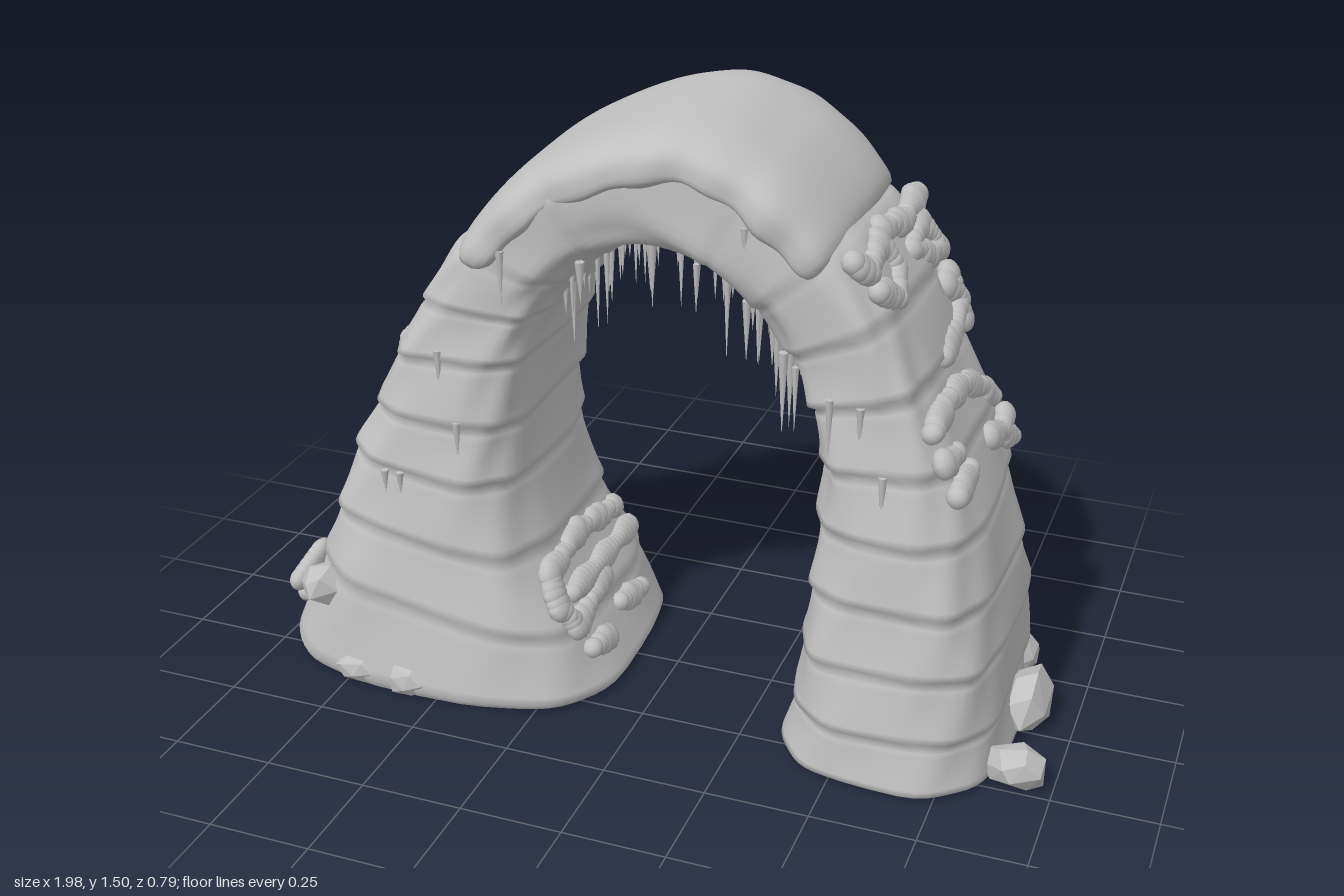
import * as THREE from 'three';
import { mergeGeometries } from 'three/addons/utils/BufferGeometryUtils.js';
import { ConvexGeometry } from 'three/addons/geometries/ConvexGeometry.js';

// Arch stations along the span: outer x, outer y, inner x, inner y, half depth
const STATIONS = [
  [-0.995, 0, -0.11, 0, 0.38], [-0.89, 0.28, -0.18, 0.16, 0.357], [-0.83, 0.44, -0.285, 0.36, 0.33],
  [-0.77, 0.59, -0.335, 0.55, 0.308], [-0.71, 0.72, -0.335, 0.7, 0.29], [-0.65, 0.86, -0.31, 0.87, 0.275],
  [-0.57, 1, -0.265, 0.99, 0.267], [-0.48, 1.15, -0.2, 1.08, 0.268], [-0.28, 1.36, -0.11, 1.16, 0.275],
  [0.04, 1.49, 0, 1.2, 0.28], [0.28, 1.43, 0.14, 1.16, 0.28], [0.46, 1.27, 0.25, 1.08, 0.275],
  [0.57, 1.1, 0.33, 0.99, 0.27], [0.64, 0.94, 0.385, 0.88, 0.272], [0.72, 0.76, 0.41, 0.75, 0.285],
  [0.775, 0.6, 0.41, 0.6, 0.303], [0.815, 0.44, 0.4, 0.44, 0.322], [0.84, 0.29, 0.38, 0.28, 0.34],
  [0.85, 0.13, 0.365, 0.13, 0.355], [0.86, 0, 0.345, 0, 0.365],
];
const LAST = STATIONS.length - 1, CROWN = 9, Z_SHIFT = -0.008;
const curveOf = (f) => new THREE.CatmullRomCurve3(STATIONS.map(f), false, 'catmullrom', 0.5);
const outer = curveOf((s) => new THREE.Vector3(s[0], s[1], s[4])); // z holds the half depth
const inner = curveOf((s) => new THREE.Vector3(s[2], s[3], s[4]));

let seed = 7;
const rand = (a = 0, b = 1) => {
  seed = (seed * 16807) % 2147483647;
  return a + (b - a) * (seed / 2147483647);
};
const spow = (v, p) => Math.sign(v) * Math.pow(Math.abs(v), p);

// Skins closed rings of points and closes both ends
function loft(rings) {
  const n = rings[0].length, pos = [], idx = [];
  rings.forEach((r) => r.forEach((p) => pos.push(p.x, p.y, p.z)));
  for (let i = 0; i < rings.length - 1; i++)
    for (let j = 0; j < n; j++) {
      const a = i * n + j, b = i * n + ((j + 1) % n);
      idx.push(a, b, a + n, b, b + n, a + n);
    }
  [rings[0], rings[rings.length - 1]].forEach((r, end) => {
    const base = pos.length / 3, c = new THREE.Vector3();
    r.forEach((p) => { pos.push(p.x, p.y, p.z); c.addScaledVector(p, 1 / n); });
    pos.push(c.x, c.y, c.z);
    for (let j = 0; j < n; j++) {
      const k = base + j, m = base + ((j + 1) % n);
      end ? idx.push(base + n, k, m) : idx.push(base + n, m, k);
    }
  });
  const g = new THREE.BufferGeometry();
  g.setAttribute('position', new THREE.Float32BufferAttribute(pos, 3));
  g.setIndex(idx);
  g.computeVertexNormals();
  return g;
}

// Stacked strata: each layer flares to a lip at its lower edge, fading at the crown
function archGeometry() {
  const SUB = 10, N = 56, rings = [];
  for (let i = 0; i <= LAST * SUB; i++) {
    const t = i / SUB, o = outer.getPoint(t / LAST), q = inner.getPoint(t / LAST);
    const frac = (i % SUB) / SUB, rise = Math.min(1, Math.abs(t - CROWN) / 4);
    const f = t < CROWN ? frac : (1 - frac) % 1;
    const lip = (f < 0.05 ? -0.005 : 0.014 * (1 - f) ** 1.5) * rise;
    const power = 0.62 - 0.12 * Math.min(1, o.y / 0.9); // feet are rounder in plan
    const dir = new THREE.Vector3(o.x - q.x, o.y - q.y, 0);
    const half = dir.length() / 2;
    dir.normalize();
    const ring = [];
    for (let j = 0; j < N; j++) {
      const a = (j / N) * Math.PI * 2;
      const rough = 0.004 * Math.sin(a * 5 + t * 1.7) + 0.003 * Math.sin(a * 9 - t * 2.9);
      const e = lip + rough;
      let u = spow(Math.cos(a), power) * (half + e);
      if (t > 7 && t < 11 && u > 0) u -= 0.02;
      const z = spow(Math.sin(a), power) * (o.z + e) + Z_SHIFT;
      ring.push(new THREE.Vector3((o.x + q.x) / 2, (o.y + q.y) / 2, z).addScaledVector(dir, u));
    }
    rings.push(ring);
  }
  return loft(rings);
}

// Thick cap draped over the crown with a scalloped edge
function capGeometry() {
  const rings = [], t0 = 6.95, t1 = 11.05, M = 60, N = 48;
  for (let i = 0; i <= M; i++) {
    const k = i / M, t = t0 + (t1 - t0) * k;
    const o = outer.getPoint(t / LAST), q = inner.getPoint(t / LAST);
    const dir = new THREE.Vector3(o.x - q.x, o.y - q.y, 0).normalize();
    const end = Math.pow(Math.max(0, 1 - Math.abs(2 * k - 1) ** 16), 0.5);
    const ring = [];
    for (let j = 0; j < N; j++) {
      const a = (j / N) * Math.PI * 2, c = Math.cos(a), s = Math.sin(a);
      const w = s > 0 ? 0 : 2.1;
      const wave = 0.009 * Math.sin(k * 17 + w) + 0.007 * Math.sin(k * 41 + w * 2);
      const u = -0.08 + spow(c, 0.68) * (c > 0 ? 0.088 : 0.045 + wave) * (0.3 + 0.7 * end);
      const z = spow(s, 0.6) * (o.z + 0.015 + wave * 0.7) * (0.93 + 0.07 * end) + Z_SHIFT;
      ring.push(new THREE.Vector3(o.x, o.y - 0.04 * z, z).addScaledVector(dir, u));
    }
    rings.push(ring);
  }
  return loft(rings);
}

// Finds the point and tilt on a face of one leg at a given height
function faceAt(curve, y, tA, tB) {
  let best = null, miss = 9;
  for (let i = 0; i <= 300; i++) {
    const t = (tA + ((tB - tA) * i) / 300) / LAST, p = curve.getPoint(t), d = Math.abs(p.y - y);
    if (d < miss) { miss = d; best = { p, tan: curve.getTangent(t).setZ(0).normalize() }; }
  }
  return best;
}

// Flat, closely overlapping crust following paths of [z, y] points on a face
function crustGeometry(curve, tA, tB, paths) {
  const parts = [];
  paths.forEach((path, k) => {
    for (let s = 0; s < path.length - 1; s++) {
      const [z0, y0] = path[s], [z1, y1] = path[s + 1];
      const n = Math.max(2, Math.ceil(Math.hypot(z1 - z0, y1 - y0) / 0.018));
      for (let i = 0; i <= n; i++) {
        const z = z0 + ((z1 - z0) * i) / n, y = y0 + ((y1 - y0) * i) / n;
        const { p, tan } = faceAt(curve, y, tA, tB);
        const r = 0.031 + 0.006 * Math.sin(z * 45 + y * 60 + k);
        parts.push(new THREE.SphereGeometry(1, 10, 8).scale(r, 0.026, r * 1.1)
          .rotateZ(Math.atan2(tan.y, tan.x)).translate(p.x, p.y, z));
      }
    }
  });
  return mergeGeometries(parts);
}

// Hanging spike with its root at the given point
const icicle = (x, y, z, len, r) =>
  new THREE.ConeGeometry(r, len, 6).rotateX(Math.PI).translate(x, y - len / 2, z);

function icicleGeometry() {
  const parts = [];
  for (let i = 0; i < 120; i++) {
    const t = rand(6.3, 12.8), p = inner.getPoint(t / LAST);
    const len = rand(0.09, 0.22) * (i % 3 ? 0.8 : 1);
    parts.push(icicle(p.x, p.y + 0.025, rand(-0.24, 0.24), len, rand(0.007, 0.012)));
  }
  // Spikes below the lips on the front and back faces
  [[-0.33, 1.17, 0.13], [-0.5, 0.9, 0.11], [-0.45, 0.73, 0.1], [-0.64, 0.58, 0.06], [-0.6, 0.58, 0.06],
    [0.25, 1.3, 0.08], [0.45, 0.93, 0.15], [0.52, 0.92, 0.1], [0.58, 0.77, 0.15]].forEach(([x, y, len]) => {
    const d = 0.277 + Math.max(0, 0.9 - y) * 0.11;
    [d, -d].forEach((z) => parts.push(icicle(x, y, z + Z_SHIFT, len, 0.01)));
  });
  return mergeGeometries(parts);
}

// Blocky boulder: hull of points scattered over an ellipsoid, flattened at the ground
function rockGeometry([x, y, z, sx, sy, sz]) {
  const points = [], N = 18;
  for (let i = 0; i < N; i++) {
    const h = 1 - (2 * i + 1) / N, a = i * 2.4 + rand(0, 0.5), w = Math.sqrt(1 - h * h);
    const k = rand(0.98, 1.14);
    points.push(new THREE.Vector3(x + w * Math.cos(a) * sx * k,
      Math.max(0, y + h * sy * k), z + w * Math.sin(a) * sz * k));
  }
  return new ConvexGeometry(points);
}

export function createModel() {
  const group = new THREE.Group();
  const stone = new THREE.MeshStandardMaterial({ color: 0xc0c0c0 });
  stone.name = 'pale grey stone';
  const add = (name, geometry) => {
    const mesh = new THREE.Mesh(geometry, stone);
    mesh.name = name;
    group.add(mesh);
  };

  add('archBody', archGeometry());
  add('crownCap', capGeometry());
  add('icicles', icicleGeometry());

  add('rightLegCrust', crustGeometry(outer, CROWN, LAST, [
    [[0.24, 1.24], [0.2, 1.21], [0.07, 1.23], [0.06, 1.17], [0.13, 1.13], [0.2, 1.17]],
    [[0.02, 1.24], [-0.1, 1.22], [-0.27, 1.23]], [[-0.07, 1.17], [-0.15, 1.13], [-0.23, 1.12], [-0.2, 1.19], [-0.1, 1.18]],
    [[0, 0.95], [-0.12, 0.97], [-0.23, 1], [-0.18, 1.05]], [[-0.21, 0.96], [-0.22, 1.06]],
    [[0.23, 0.87], [0.1, 0.88], [-0.05, 0.87], [-0.15, 0.82], [-0.2, 0.78]],
    [[0.23, 0.8], [0.15, 0.79]], [[0.22, 0.72], [0.1, 0.73]],
    [[-0.1, 0.72], [-0.18, 0.7], [-0.25, 0.66]], [[-0.18, 0.7], [-0.25, 0.71]],
  ]));
  add('leftLegCrust', crustGeometry(outer, 0, CROWN, [
    [[-0.26, 0.25], [-0.16, 0.2]], [[-0.08, 0.22], [0.03, 0.2]], [[0.08, 0.13], [0.2, 0.12]],
    [[0.2, 0.25], [0.28, 0.21]], [[-0.14, 0.58], [0.04, 0.6]], [[-0.1, 0.68], [0.08, 0.67]],
    [[-0.25, 0.8], [-0.1, 0.78]], [[0, 0.86], [0.1, 0.84]], [[-0.2, 0.93], [-0.04, 0.95]],
    [[-0.15, 1.04], [0.04, 1.06]], [[-0.24, 1.12], [-0.1, 1.13]],
  ]));
  add('innerFootCrust', crustGeometry(inner, 0, CROWN, [
    [[-0.2, 0.3], [0, 0.33], [0.2, 0.31]], [[0.2, 0.31], [0.23, 0.24], [0.2, 0.18], [0, 0.21]],
    [[0.15, 0.24], [-0.22, 0.24]], [[0.18, 0.11], [0.1, 0.1]], [[-0.02, 0.13], [-0.14, 0.11]],
  ]));

  [[0.885, 0.055, -0.06, 0.06, 0.085, 0.1], [0.91, 0.045, 0.21, 0.075, 0.055, 0.055],
    [0.83, 0.085, -0.22, 0.05, 0.05, 0.05], [-0.84, 0.22, 0.29, 0.06, 0.055, 0.06],
    [-0.72, 0.035, 0.35, 0.065, 0.04, 0.04], [-0.58, 0.035, 0.36, 0.065, 0.045, 0.04],
  ].forEach((r, i) => add('rock' + (i + 1), rockGeometry(r)));
  return group;
}
